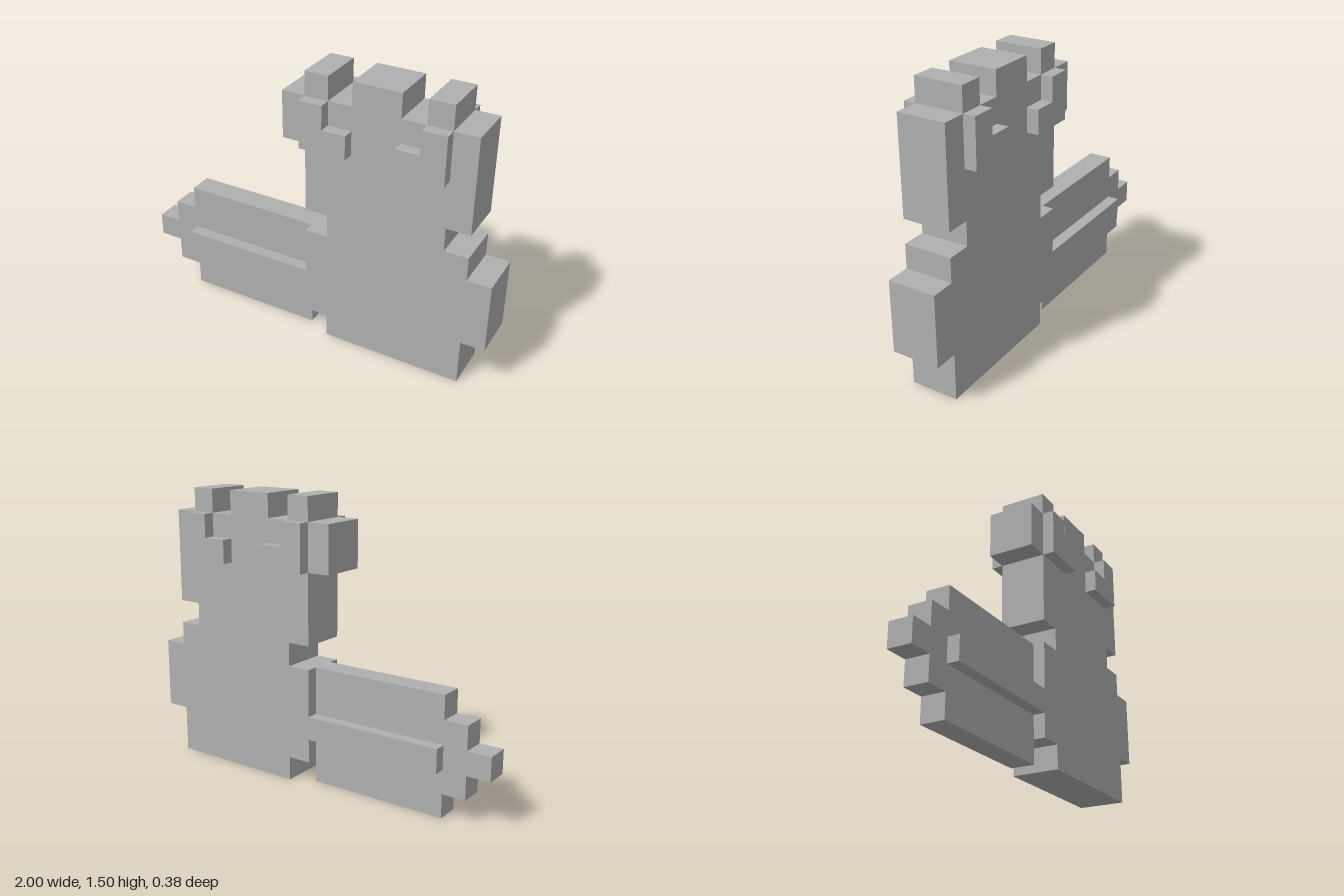
import * as THREE from 'three';

const U = 0.125; // one block

export function createModel() {
  const group = new THREE.Group();
  const grey = new THREE.MeshStandardMaterial({ color: 0xb0b0b0 });
  grey.name = 'grey';

  // Extrudes an outline given in blocks between two depths
  function slab(name, points, z0, z1) {
    const shape = new THREE.Shape(points.map(([x, y]) => new THREE.Vector2(x * U, y * U)));
    const geometry = new THREE.ExtrudeGeometry(shape, { depth: (z1 - z0) * U, bevelEnabled: false });
    geometry.translate(0, 0, z0 * U);
    const mesh = new THREE.Mesh(geometry, grey);
    mesh.name = name;
    group.add(mesh);
  }

  // Body and head with snout and three crest blocks
  slab('body', [
    [1, 0], [7, 0], [7, 2], [8, 2], [8, 5], [7, 5], [7, 6], [6, 6], [6, 7], [7, 7], [7, 11],
    [6, 11], [6, 12], [5, 12], [5, 11], [4, 11], [4, 12], [2, 12], [2, 11], [1, 11], [1, 12],
    [0, 12], [0, 11], [-1, 11], [-1, 9], [0, 9], [0, 6], [1, 6], [1, 5], [0, 5], [0, 1], [1, 1],
  ], -1, 1);

  // Thin stepped tail
  slab('tail', [
    [-8, 2], [-7, 2], [-7, 1], [-6, 1], [-6, 0], [0, 0], [0, 5],
    [-6, 5], [-6, 4], [-7, 4], [-7, 3], [-8, 3],
  ], -0.5, 0.5);

  // Raised parts on both faces
  for (const [side, near, far] of [['front', 1, 1.5], ['back', -1.5, -1]]) {
    const inner = side === 'front' ? [0.5, 1] : [-1, -0.5];
    slab(side + 'TailRidge', [[-6, 2], [0, 2], [0, 3], [-6, 3]], ...inner);
    slab(side + 'SnoutBracket', [[0, 9], [2, 9], [2, 10], [1, 10], [1, 11], [0, 11]], near, far);
    slab(side + 'RearBracket', [[4, 9], [6, 9], [6, 11], [5, 11], [5, 10], [4, 10]], near, far);
  }
  return group;
}
